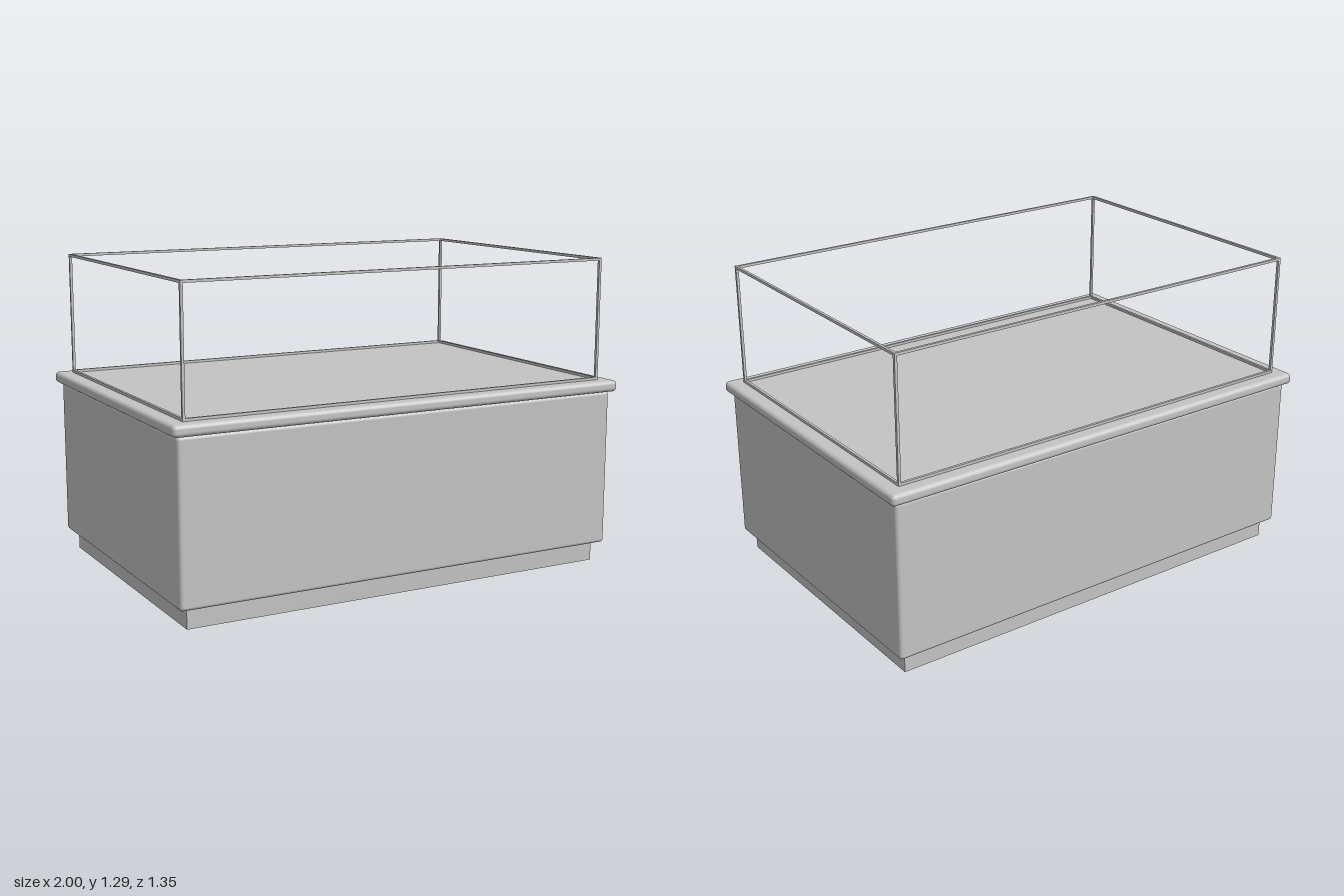
import * as THREE from 'three';
import { RoundedBoxGeometry } from 'three/addons/geometries/RoundedBoxGeometry.js';

export function createModel() {
  const group = new THREE.Group();
  group.name = 'displayCase';
  const grey = new THREE.MeshStandardMaterial({ color: 0xc4c4c4 });
  grey.name = 'light grey';

  const add = (name, geometry, x, y, z, parent = group) => {
    const mesh = new THREE.Mesh(geometry, grey);
    mesh.name = name;
    mesh.position.set(x, y, z);
    parent.add(mesh);
  };
  // rounded block spanning y0..y1
  const block = (name, w, d, y0, y1, r) =>
    add(name, new RoundedBoxGeometry(w, y1 - y0, d, 4, r), 0, (y0 + y1) / 2, 0);

  // recessed plinth, cabinet body and overhanging top
  add('plinth', new THREE.BoxGeometry(1.87, 0.085, 1.22), 0, 0.0425, 0);
  block('cabinetBody', 1.95, 1.298, 0.083, 0.738, 0.015);
  block('topSlab', 2, 1.346, 0.738, 0.785, 0.018);

  // thin open frame standing on the top
  const frame = new THREE.Group();
  frame.name = 'caseFrame';
  group.add(frame);
  const t = 0.011, y0 = 0.785, y1 = 1.295;
  const X = 0.938 - t / 2, Z = 0.614 - t / 2;
  for (const s of [-1, 1]) {
    for (const y of [y0 + t / 2, y1 - t / 2]) {
      add('longRail', new THREE.BoxGeometry(2 * X + t, t, t), 0, y, s * Z, frame);
      add('shortRail', new THREE.BoxGeometry(t, t, 2 * Z - t), s * X, y, 0, frame);
    }
    for (const k of [-1, 1]) {
      add('cornerPost', new THREE.BoxGeometry(t, y1 - y0 - 2 * t, t), s * X, (y0 + y1) / 2, k * Z, frame);
    }
  }
  return group;
}
